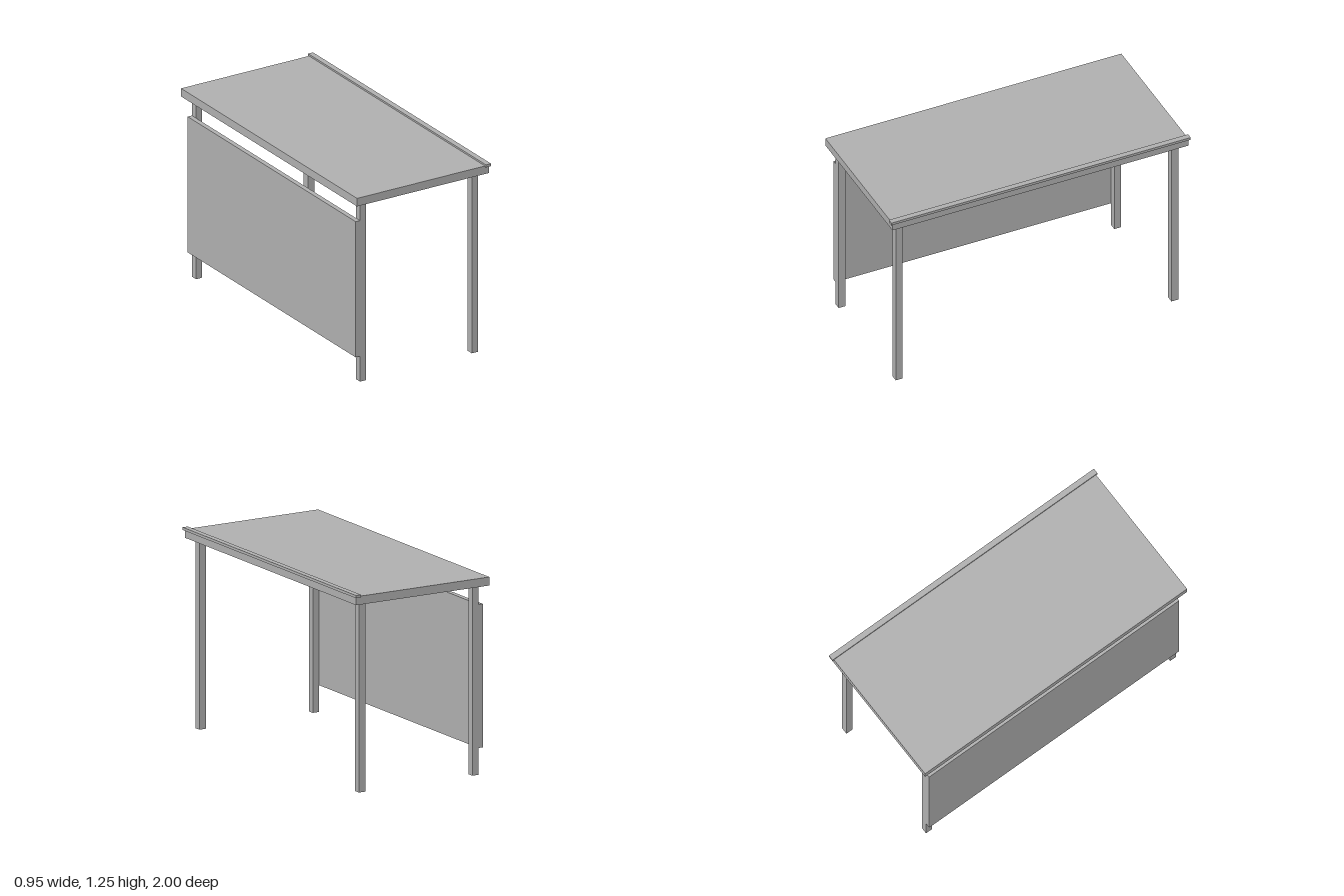
import * as THREE from 'three';

export function createModel() {
  const group = new THREE.Group();
  const grey = new THREE.MeshStandardMaterial({ color: 0xb2b2b2 });
  grey.name = 'plain grey';

  // Box given by its extents on each axis
  function slab(name, [x0, x1], [y0, y1], [z0, z1]) {
    const mesh = new THREE.Mesh(new THREE.BoxGeometry(x1 - x0, y1 - y0, z1 - z0), grey);
    mesh.position.set((x0 + x1) / 2, (y0 + y1) / 2, (z0 + z1) / 2);
    mesh.name = name;
    group.add(mesh);
  }

  // Desk top and the thin lip along its raised edge
  slab('tabletop', [-0.478, 0.465], [1.181, 1.234], [-0.989, 0.989]);
  slab('edgeLip', [0.438, 0.474], [1.228, 1.245], [-1, 1]);

  // Four square legs
  for (const [side, xs] of [['right', [-0.428, -0.385]], ['left', [0.372, 0.418]]]) {
    slab(side + 'FrontLeg', xs, [0, 1.181], [0.898, 0.944]);
    slab(side + 'BackLeg', xs, [0, 1.181], [-0.944, -0.898]);
  }

  // Modesty panel fixed to the outside of the right legs
  slab('modestyPanel', [-0.459, -0.428], [0.167, 1.06], [-0.944, 0.944]);

  return group;
}
